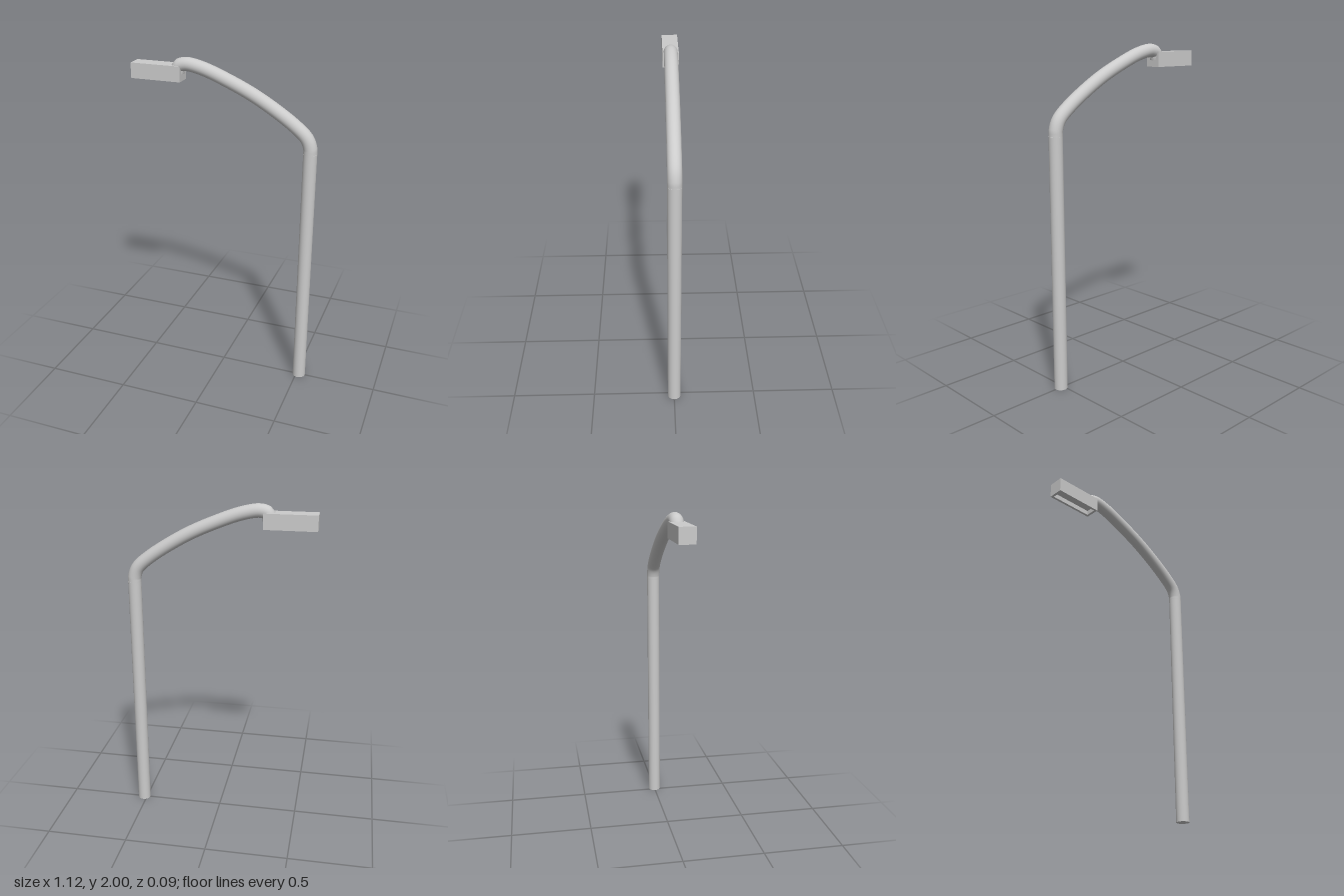
import * as THREE from 'three';

const RADIUS = 0.04;
const POLE_X = 0.517;
const POLE_TOP = 1.51;

export function createModel() {
  const model = new THREE.Group();
  model.name = 'streetLamp';
  const material = new THREE.MeshStandardMaterial({ color: 0xcccccc });

  const add = (name, geometry, parent = model) => {
    const mesh = new THREE.Mesh(geometry, material);
    mesh.name = name;
    parent.add(mesh);
    return mesh;
  };

  // Straight upright pole
  add('pole', new THREE.CylinderGeometry(RADIUS, RADIUS, POLE_TOP, 24))
    .position.set(POLE_X, POLE_TOP / 2, 0);

  // Curved arm, continuing the pole and dipping into the lamp housing
  const path = new THREE.CatmullRomCurve3([
    [POLE_X, POLE_TOP], [0.516, 1.54], [0.495, 1.595], [0.42, 1.664],
    [0.2, 1.803], [0, 1.895], [-0.14, 1.945], [-0.235, 1.96],
    [-0.277, 1.945], [-0.285, 1.91],
  ].map(([x, y]) => new THREE.Vector3(x, y, 0)));
  add('arm', new THREE.TubeGeometry(path, 64, RADIUS, 24));

  // Box housing: a solid lid above a rectangular rim that is open below
  const housing = new THREE.Group();
  housing.name = 'lampHousing';
  housing.position.set(-0.407, 1.862, 0);
  model.add(housing);

  const length = 0.307, width = 0.094, height = 0.091, depth = 0.03, wall = 0.015;
  const rectangle = (PathType, w, h) => new PathType([
    new THREE.Vector2(-w / 2, -h / 2), new THREE.Vector2(w / 2, -h / 2),
    new THREE.Vector2(w / 2, h / 2), new THREE.Vector2(-w / 2, h / 2),
  ]);
  const outline = rectangle(THREE.Shape, length, width);
  outline.holes.push(rectangle(THREE.Path, length - 2 * wall, width - 2 * wall));
  const rim = new THREE.ExtrudeGeometry(outline, { depth, bevelEnabled: false });
  rim.rotateX(-Math.PI / 2);
  add('housingRim', rim, housing);
  add('housingLid', new THREE.BoxGeometry(length, height - depth, width), housing)
    .position.y = (height + depth) / 2;

  return model;
}
